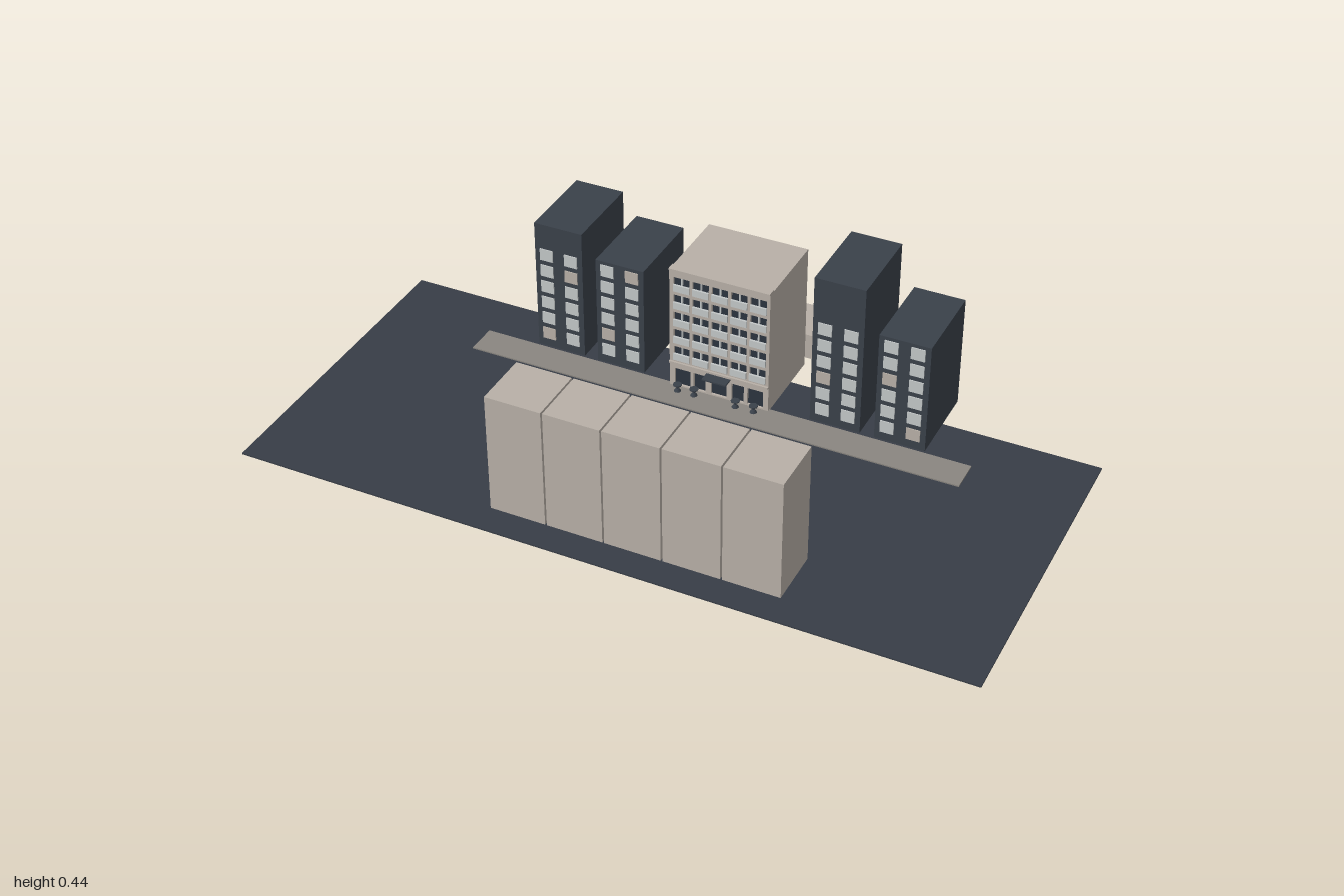
import * as THREE from 'three';

const mat = (name, color) => {
  const m = new THREE.MeshStandardMaterial({ color });
  m.name = name;
  return m;
};

export function createModel() {
  const slate = mat('slate', 0x3a414a);
  const asphalt = mat('asphalt', 0x383d46);
  const stone = mat('stone', 0xb8b0a7);
  const paving = mat('paving', 0x8a8680);
  const paleGlass = mat('paleGlass', 0xc3c7c7);
  const darkGlass = mat('darkGlass', 0x2c343f);
  const model = new THREE.Group();
  model.name = 'cityBlock';

  const group = (name, parent = model) => {
    const g = new THREE.Group();
    g.name = name;
    parent.add(g);
    return g;
  };
  // Box given by its minimum and maximum on each axis
  const box = (parent, name, material, x0, x1, y0, y1, z0, z1) => {
    const mesh = new THREE.Mesh(new THREE.BoxGeometry(x1 - x0, y1 - y0, z1 - z0), material);
    mesh.position.set((x0 + x1) / 2, (y0 + y1) / 2, (z0 + z1) / 2);
    mesh.name = name;
    parent.add(mesh);
    return mesh;
  };

  // Ground and pavement
  box(model, 'ground', asphalt, -1, 1, 0, 0.004, -0.32, 0.57);
  box(model, 'pavement', paving, -0.7, 0.7, 0.004, 0.008, -0.18, -0.09);

  // Dark towers with two columns of windows
  [[-0.55, 0.39], [-0.37, 0.325], [0.25, 0.445], [0.43, 0.325]].forEach(([x, h], t) => {
    const tower = group('tower');
    box(tower, 'towerBody', slate, x, x + 0.14, 0.005, h, -0.43, -0.19);
    for (let row = 0; row < 6; row++) {
      for (let col = 0; col < 2; col++) {
        const wx = x + 0.015 + col * 0.072, wy = 0.03 + row * 0.05;
        const shaded = (row * 3 + col * 2 + t * 4) % 7 === 0;
        box(tower, 'towerWindow', shaded ? stone : paleGlass, wx, wx + 0.038, wy, wy + 0.035, -0.19, -0.187);
      }
    }
  });

  // Terrace of five stone houses, windows towards the street
  for (let i = 0; i < 5; i++) {
    const house = group('terraceHouse');
    const x = -0.316 + i * 0.158;
    box(house, 'houseBody', stone, x, x + 0.153, 0.005, 0.345, 0.33, 0.49);
    for (let row = 0; row < 6; row++) {
      for (let col = 0; col < 3; col++) {
        const wx = x + 0.016 + col * 0.045, wy = 0.03 + row * 0.05;
        box(house, 'houseWindow', paleGlass, wx, wx + 0.031, wy, wy + 0.034, 0.326, 0.33);
      }
    }
  }

  // Central building: a shell open at the back above the first floor
  const hall = group('centralBuilding');
  box(hall, 'roof', stone, -0.145, 0.14, 0.362, 0.371, -0.41, -0.17);
  box(hall, 'rightWall', stone, -0.145, -0.137, 0.005, 0.362, -0.41, -0.182);
  box(hall, 'leftWall', stone, 0.132, 0.14, 0.005, 0.362, -0.41, -0.182);
  box(hall, 'firstFloor', stone, -0.137, 0.132, 0.072, 0.08, -0.41, -0.182);
  box(hall, 'lowerBackWall', stone, -0.137, 0.01, 0.005, 0.072, -0.41, -0.404);
  box(hall, 'lowerBackWall', stone, 0.09, 0.132, 0.005, 0.072, -0.41, -0.404);
  box(hall, 'cornice', stone, -0.145, 0.14, 0.371, 0.376, -0.19, -0.165);

  // Front wall with window openings, glazing and balcony panels
  const rect = (Path, x0, x1, y0, y1) => new Path([[x0, y0], [x1, y0], [x1, y1], [x0, y1]].map(p => new THREE.Vector2(...p)));
  const wall = rect(THREE.Shape, -0.145, 0.14, 0.005, 0.362);
  const addOpening = (x0, x1, y0, y1, z) => {
    wall.holes.push(rect(THREE.Path, x0, x1, y0, y1));
    box(hall, 'glazing', darkGlass, x0, x1, y0, y1, z, z + 0.003);
  };
  for (let row = 0; row < 5; row++) {
    const y = 0.092 + row * 0.054;
    for (let col = 0; col < 5; col++) {
      const x = -0.133 + col * 0.0545;
      addOpening(x, x + 0.046, y, y + 0.042, -0.18);
      box(hall, 'balconyPanel', paleGlass, x, x + 0.046, y, y + 0.02, -0.172, -0.166);
      box(hall, 'mullion', paleGlass, x + 0.021, x + 0.025, y + 0.02, y + 0.042, -0.177, -0.172);
    }
  }
  // Shop fronts and the doorway
  for (const [x0, x1] of [[-0.13, -0.085], [-0.075, -0.04], [-0.025, 0.02], [0.035, 0.07], [0.08, 0.125]]) {
    addOpening(x0, x1, 0.012, 0.064, -0.18);
  }
  const front = new THREE.Mesh(new THREE.ExtrudeGeometry(wall, { depth: 0.012, bevelEnabled: false }), stone);
  front.position.z = -0.182;
  front.name = 'frontWall';
  hall.add(front);
  box(hall, 'stringCourse', stone, -0.145, 0.14, 0.08, 0.086, -0.17, -0.164);
  box(hall, 'canopy', slate, -0.037, 0.032, 0.073, 0.077, -0.17, -0.138);

  // Small café tables by the shop fronts
  for (const x of [-0.113, -0.065, 0.055, 0.107]) {
    const table = group('cafeTable');
    table.position.set(x, 0.008, -0.15);
    for (const [name, r0, r1, y, h] of [['tableFoot', 0.005, 0.01, 0.004, 0.008], ['tableStem', 0.003, 0.003, 0.013, 0.012], ['tableTop', 0.012, 0.012, 0.02, 0.003]]) {
      const part = new THREE.Mesh(new THREE.CylinderGeometry(r0, r1, h, 10), slate);
      part.position.y = y;
      part.name = name;
      table.add(part);
    }
  }

  // Low rear wing, hollow, joined by a narrow passage
  const wing = group('rearWing');
  box(wing, 'wingRoof', stone, 0.01, 0.165, 0.074, 0.08, -0.575, -0.44);
  box(wing, 'passageRoof', stone, 0.01, 0.09, 0.074, 0.08, -0.44, -0.41);
  box(wing, 'wingLeftWall', stone, 0.16, 0.165, 0.005, 0.074, -0.575, -0.44);
  box(wing, 'wingInnerWall', stone, 0.09, 0.16, 0.005, 0.074, -0.445, -0.44);
  box(wing, 'passageWall', stone, 0.085, 0.09, 0.005, 0.074, -0.44, -0.41);
  box(wing, 'wingRightWall', stone, 0.01, 0.015, 0.005, 0.074, -0.53, -0.41);
  box(wing, 'wingBackWall', stone, -0.04, 0.165, 0.005, 0.08, -0.579, -0.575);
  return model;
}
